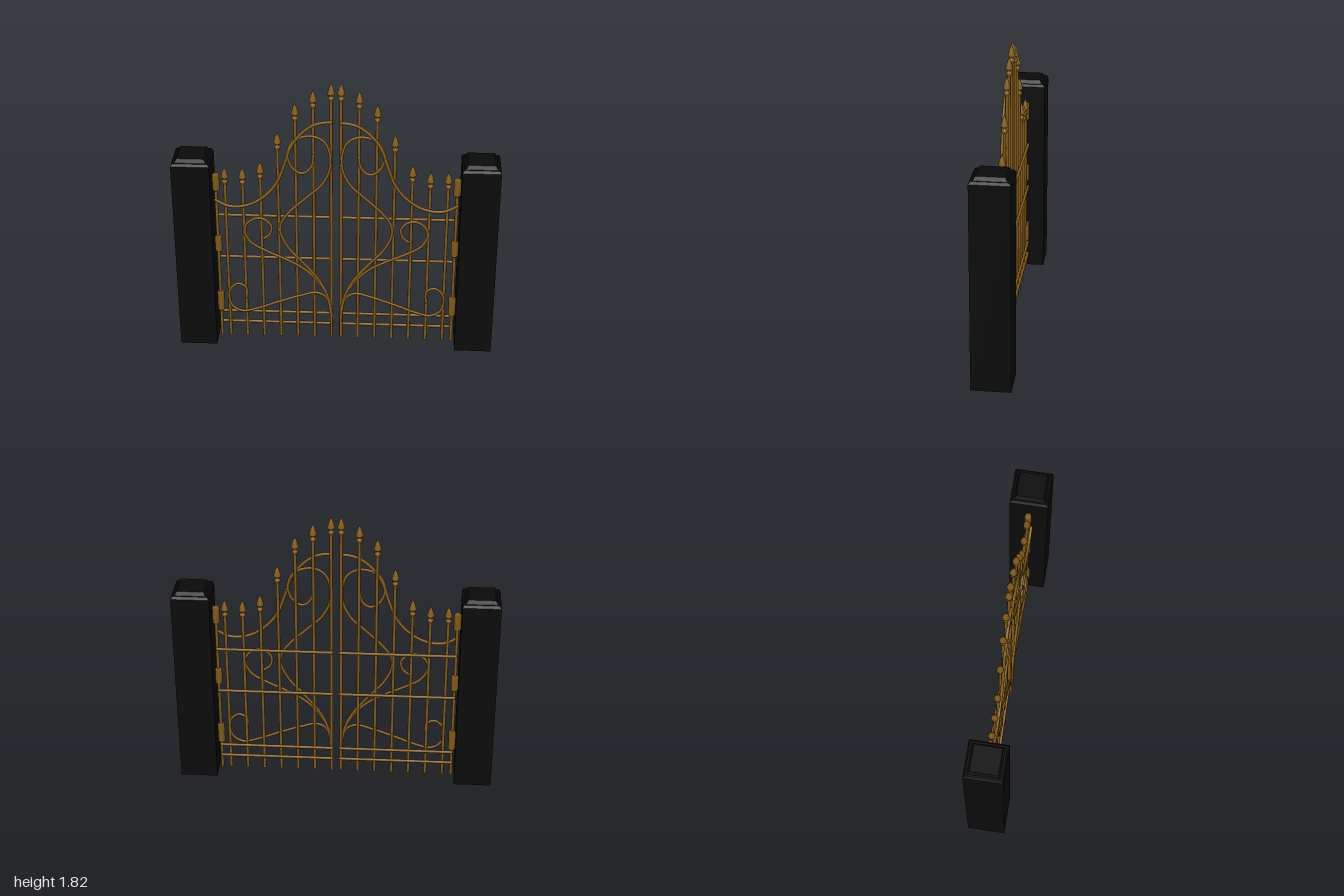
import * as THREE from 'three';

const gold = new THREE.MeshStandardMaterial({ color: 0x80591a });
gold.name = 'aged gold';
const black = new THREE.MeshStandardMaterial({ color: 0x0b0b0c });
black.name = 'pillar black';

function add(parent, geo, mat, name, x = 0, y = 0, z = 0) {
  const m = new THREE.Mesh(geo, mat);
  m.name = name;
  m.position.set(x, y, z);
  parent.add(m);
  return m;
}

// smooth round rod through [x, y] points, mirrored by side, with rounded ends
function rod(parent, pts, side, z, r, name) {
  const v = pts.map(([x, y]) => new THREE.Vector3(x * side, y, z));
  const curve = new THREE.CatmullRomCurve3(v, false, 'centripetal');
  add(parent, new THREE.TubeGeometry(curve, pts.length * 8, r, 8), gold, name);
  for (const p of [v[0], v[v.length - 1]]) {
    add(parent, new THREE.SphereGeometry(r, 8, 6), gold, name + 'End', p.x, p.y, p.z);
  }
}

const lathe = (pts, n) => new THREE.LatheGeometry(pts.map(([x, y]) => new THREE.Vector2(x, y)), n);

// spear tip with a collar, its point at y = 0
const finialGeo = lathe([[0.009, -0.125], [0.012, -0.118], [0.019, -0.104], [0.019, -0.098], [0.011, -0.09],
  [0.012, -0.083], [0.022, -0.076], [0.023, -0.07], [0.014, -0.036], [0, 0]], 12);
// hinge barrel with softened rims, unit height
const hingeGeo = (h) => lathe([[0, -h / 2], [0.017, -h / 2], [0.022, -h / 2 + 0.006],
  [0.022, h / 2 - 0.006], [0.017, h / 2], [0, h / 2]], 12);

// pickets: x, height of the point
const pickets = [[0.03, 1.815], [0.139, 1.767], [0.248, 1.68], [0.358, 1.483],
  [0.468, 1.28], [0.578, 1.237], [0.688, 1.237]];
const rails = [0.095, 0.175, 0.587, 0.89];
const hinges = [[0.26, 0.14], [0.69, 0.11], [1.128, 0.115]];

const arch = [[0.03, 1.559], [0.08, 1.555], [0.14, 1.535], [0.215, 1.475], [0.277, 1.385], [0.32, 1.255],
  [0.365, 1.14], [0.43, 1.055], [0.52, 0.99], [0.61, 0.965], [0.68, 0.972], [0.748, 1.008]];
const upperScroll = [[0.139, 1.33], [0.148, 1.265], [0.18, 1.22], [0.22, 1.21], [0.272, 1.25], [0.297, 1.335],
  [0.267, 1.415], [0.214, 1.453], [0.139, 1.462], [0.07, 1.425], [0.037, 1.335], [0.043, 1.225],
  [0.09, 1.13], [0.177, 1.045], [0.285, 0.94], [0.34, 0.86], [0.348, 0.785], [0.3, 0.675],
  [0.203, 0.56], [0.107, 0.435], [0.055, 0.32], [0.033, 0.18], [0.03, 0.01]];
const middleScroll = [[0.453, 0.738], [0.417, 0.77], [0.405, 0.825], [0.44, 0.872], [0.495, 0.884],
  [0.555, 0.847], [0.572, 0.783], [0.535, 0.708], [0.444, 0.65], [0.31, 0.585], [0.203, 0.52],
  [0.123, 0.44], [0.064, 0.344], [0.034, 0.2]];
const lowerScroll = [[0.578, 0.29], [0.572, 0.345], [0.585, 0.38], [0.628, 0.397], [0.672, 0.365],
  [0.689, 0.3], [0.668, 0.227], [0.604, 0.19], [0.513, 0.211], [0.364, 0.27], [0.23, 0.318],
  [0.125, 0.344], [0.067, 0.315], [0.037, 0.238], [0.03, 0.13]];

function gateLeaf(side) {
  const g = new THREE.Group();
  g.name = side > 0 ? 'leftGateLeaf' : 'rightGateLeaf';
  for (const [x, top] of pickets) {
    const h = top - 0.11;
    add(g, new THREE.CylinderGeometry(0.01, 0.01, h, 8), gold, 'picket', side * x, h / 2, 0);
    add(g, finialGeo, gold, 'finial', side * x, top, 0);
  }
  for (const y of rails) {
    const rail = add(g, new THREE.CylinderGeometry(0.01, 0.01, 0.73, 8), gold, 'rail', side * 0.385, y, -0.013);
    rail.rotation.z = Math.PI / 2;
  }
  // hinge post and barrels
  add(g, new THREE.CylinderGeometry(0.01, 0.01, 1.15, 8), gold, 'hingePost', side * 0.745, 0.575, 0);
  for (const [y, h] of hinges) add(g, hingeGeo(h), gold, 'hinge', side * 0.743, y, 0);
  // curved ironwork
  rod(g, arch, side, side > 0 ? 0.02 : 0.012, 0.01, 'arch');
  rod(g, upperScroll, side, 0.011, 0.009, 'upperScroll');
  rod(g, middleScroll, side, 0.011, 0.009, 'middleScroll');
  rod(g, lowerScroll, side, 0.011, 0.009, 'lowerScroll');
  return g;
}

function pillar(side) {
  const g = new THREE.Group();
  g.name = side > 0 ? 'leftPillar' : 'rightPillar';
  const w = 0.235, d = 0.24;
  add(g, new THREE.BoxGeometry(w, 1.29, d), black, 'pillarBody', 0, 0.645, 0);
  // low stepped cap with sloping sides
  const slope = (bottom, top, h, y, name) => {
    const geo = new THREE.CylinderGeometry(top * Math.SQRT1_2, bottom * Math.SQRT1_2, h, 4, 1).toNonIndexed();
    geo.rotateY(Math.PI / 4);
    geo.computeVertexNormals();
    add(g, geo, black, name, 0, y, 0).scale.set(w, 1, d);
  };
  slope(1, 0.9, 0.015, 1.2975, 'capShoulder');
  slope(0.82, 0.7, 0.025, 1.3155, 'capTop');
  g.position.x = side * (1 - w / 2);
  return g;
}

export function createModel() {
  const model = new THREE.Group();
  model.name = 'ironGate';
  for (const side of [1, -1]) model.add(gateLeaf(side), pillar(side));
  return model;
}
